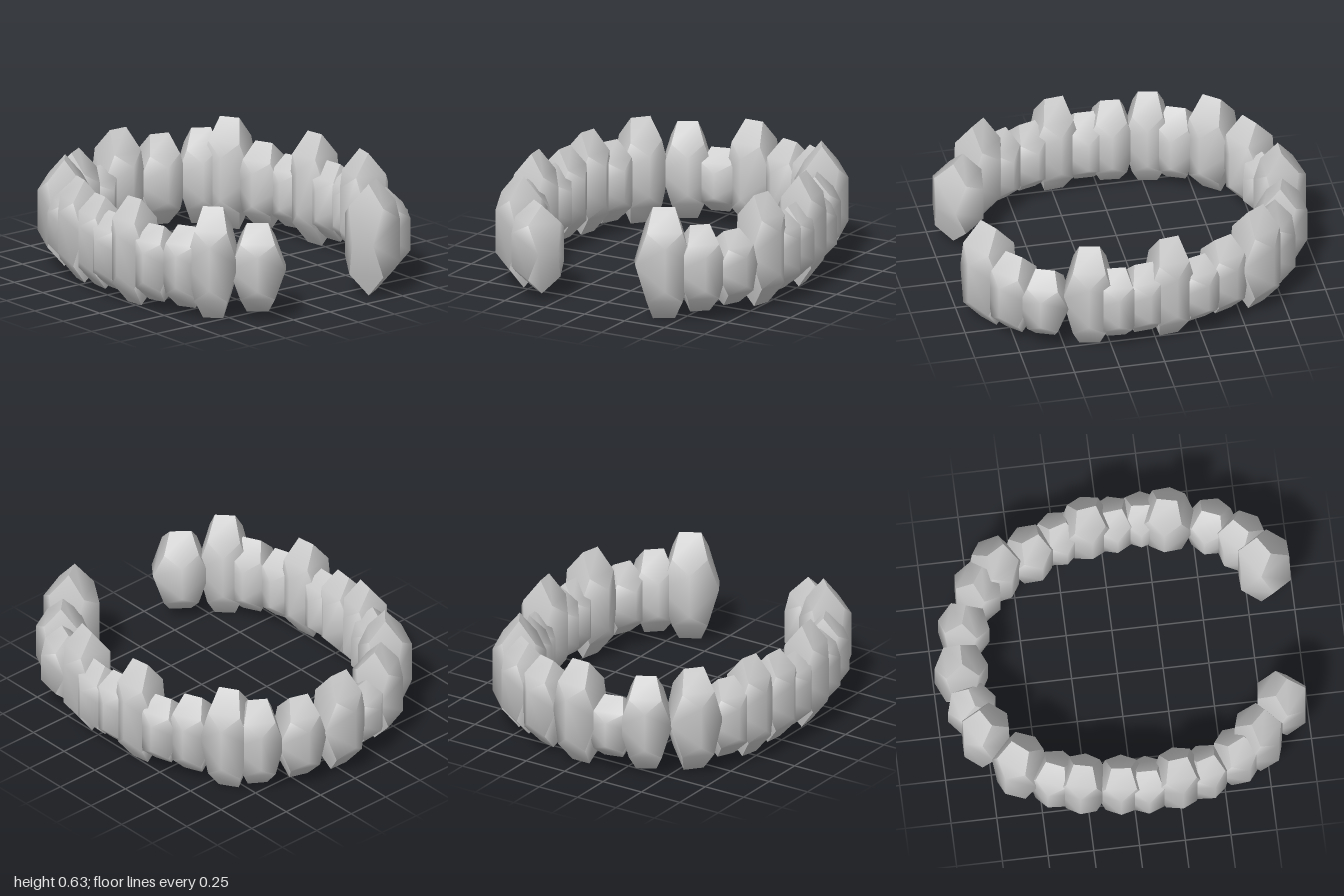
import * as THREE from 'three';
import { toCreasedNormals } from 'three/addons/utils/BufferGeometryUtils.js';

// One stone per row along the open ring: x, z, half height, half width
const STONES = [
  [0.41, 0.85, 0.315, 0.158], [0.575, 0.745, 0.245, 0.142], [0.685, 0.595, 0.21, 0.138],
  [0.735, 0.36, 0.315, 0.145], [0.77, 0.22, 0.22, 0.132], [0.757, 0.065, 0.22, 0.136],
  [0.74, -0.08, 0.315, 0.14], [0.715, -0.24, 0.205, 0.132], [0.64, -0.4, 0.24, 0.138],
  [0.56, -0.6, 0.315, 0.147], [0.45, -0.71, 0.27, 0.14], [0.24, -0.81, 0.257, 0.142],
  [-0.01, -0.855, 0.3, 0.145], [-0.2, -0.82, 0.18, 0.138], [-0.375, -0.765, 0.275, 0.145],
  [-0.575, -0.6, 0.3, 0.147], [-0.665, -0.42, 0.23, 0.138], [-0.72, -0.275, 0.29, 0.136],
  [-0.745, -0.07, 0.26, 0.138], [-0.755, 0.07, 0.215, 0.138], [-0.75, 0.24, 0.3, 0.138],
  [-0.72, 0.395, 0.215, 0.132], [-0.65, 0.57, 0.23, 0.138], [-0.57, 0.7, 0.315, 0.145],
  [-0.38, 0.85, 0.25, 0.153],
];

// Upright dodecahedron with a level edge on top, soft on its sides and sharp at its ends
function stoneGeometry(halfHeight, halfWidth) {
  const geometry = new THREE.DodecahedronGeometry(1, 0);
  const reach = (1 + Math.sqrt(5)) / 2 / Math.sqrt(3); // extent of a unit dodecahedron
  geometry.scale(halfWidth / reach, halfHeight / reach, halfWidth / reach);
  geometry.deleteAttribute('uv');
  return toCreasedNormals(geometry, 1.17);
}

export function createModel() {
  const ring = new THREE.Group();
  ring.name = 'stoneRing';
  const material = new THREE.MeshStandardMaterial({ color: 0xcccccc });

  STONES.forEach(([x, z, halfHeight, halfWidth], i) => {
    const stone = new THREE.Mesh(stoneGeometry(halfHeight, halfWidth), material);
    stone.name = `stone${i + 1}`;
    // Taller stones sit a little deeper
    stone.position.set(x, 0.18 + 0.45 * halfHeight, z);
    // Turn the top edge along the ring
    const before = STONES[Math.max(i - 1, 0)];
    const after = STONES[Math.min(i + 1, STONES.length - 1)];
    stone.rotation.y = Math.atan2(before[1] - after[1], after[0] - before[0]);
    ring.add(stone);
  });
  return ring;
}
